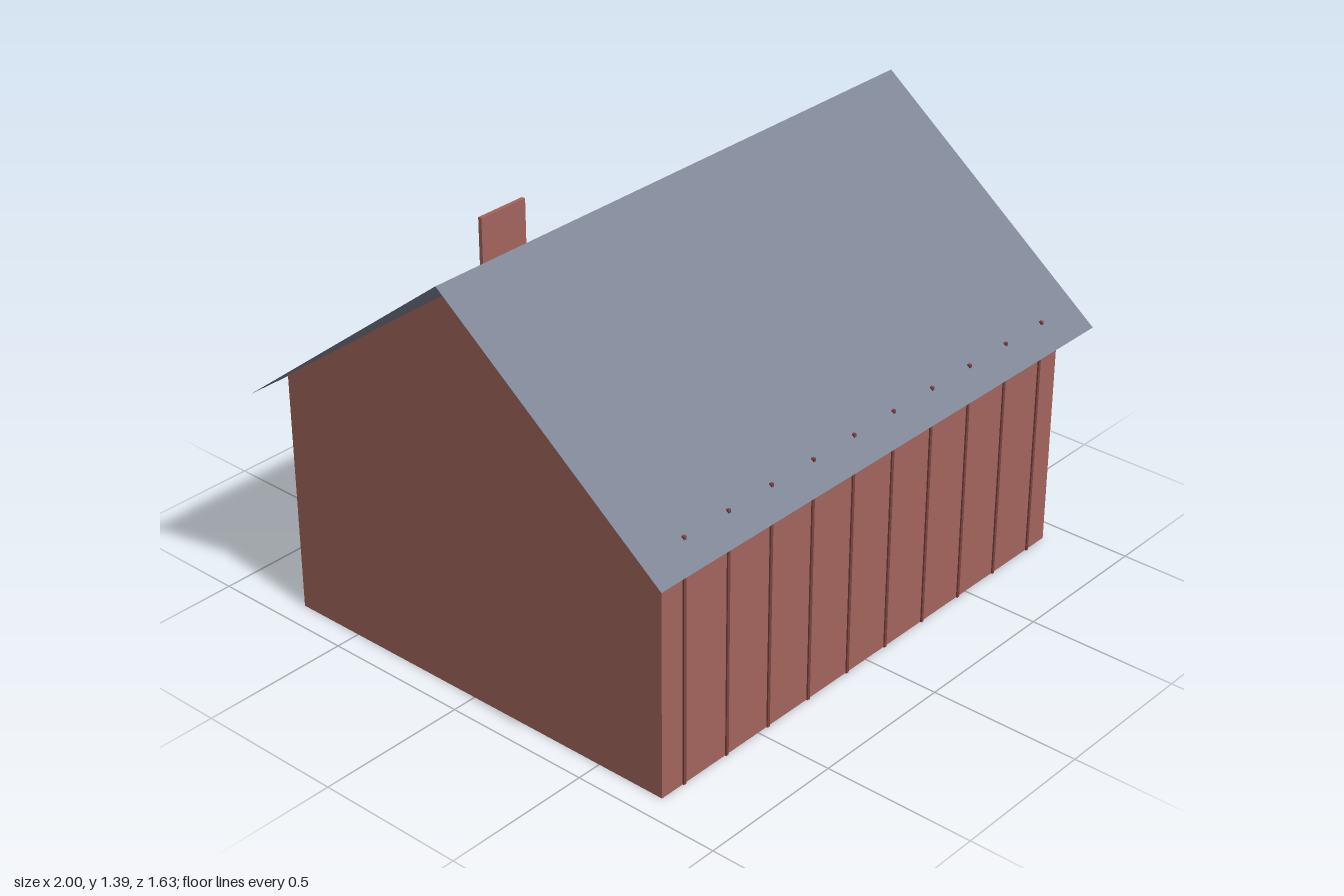
import * as THREE from 'three';

const mat = (name, color, side = THREE.FrontSide) => {
  const m = new THREE.MeshStandardMaterial({ color, side });
  m.name = name;
  return m;
};

export function createModel() {
  const red = mat('barn red', 0xa3655c);
  const darkRed = mat('dark red', 0x7a453f);
  const slate = mat('slate', 0x7d8594, THREE.DoubleSide);
  const trim = mat('pale trim', 0xa3ada6);
  const barn = new THREE.Group();
  barn.name = 'barn';

  const add = (name, geometry, material, x = 0, y = 0, z = 0) => {
    const mesh = new THREE.Mesh(geometry, material);
    mesh.name = name;
    mesh.position.set(x, y, z);
    barn.add(mesh);
    return mesh;
  };
  const box = (name, material, w, h, d, x, y, z) =>
    add(name, new THREE.BoxGeometry(w, h, d), material, x, y, z);

  // Walls: gabled outline pushed along x
  const halfX = 0.917, halfZ = 0.74;
  const outline = new THREE.Shape([
    [-halfZ, 0], [halfZ, 0], [halfZ, 0.815], [0, 1.355], [-halfZ, 0.815],
  ].map(([a, b]) => new THREE.Vector2(a, b)));
  const walls = new THREE.ExtrudeGeometry(outline, { depth: 2 * halfX, bevelEnabled: false });
  walls.translate(0, 0, -halfX).rotateY(Math.PI / 2);
  add('walls', walls, red);

  // Roof: two thin sheets meeting at the ridge
  const ridge = 1.39, eave = 0.757, reach = 0.815;
  const slope = Math.hypot(reach, ridge - eave);
  const pitch = Math.atan2(ridge - eave, reach);
  for (const s of [1, -1]) {
    const sheet = new THREE.PlaneGeometry(2, slope);
    sheet.rotateX(-Math.PI / 2 + pitch);
    if (s < 0) sheet.rotateY(Math.PI);
    add(s > 0 ? 'frontRoof' : 'backRoof', sheet, slate, 0, (ridge + eave) / 2, s * reach / 2);
  }

  // Battens on both long walls
  for (const s of [1, -1]) {
    for (let i = 0; i < 10; i++) {
      box('batten', darkRed, 0.01, 0.822, 0.01, -0.825 + i * 0.18333, 0.411, s * halfZ);
    }
  }

  // Door frame, double doors and cross braces on the back wall
  box('doorFrame', trim, 0.61, 0.615, 0.012, 0, 0.3075, -0.744);
  const doorW = 0.278, doorH = 0.575, doorY = 0.2975;
  for (const s of [1, -1]) {
    box('door', red, doorW, doorH, 0.012, s * 0.1405, doorY, -0.751);
    for (const t of [1, -1]) {
      const brace = box('brace', trim, 0.012, Math.hypot(doorW, doorH) - 0.025, 0.002,
        s * 0.1405, doorY, -0.757);
      brace.rotation.z = t * Math.atan2(doorW, doorH);
    }
  }

  // Loft hatch above the doors
  box('loftHatch', red, 0.195, 0.182, 0.014, 0, 0.94, -0.747);

  return barn;
}
